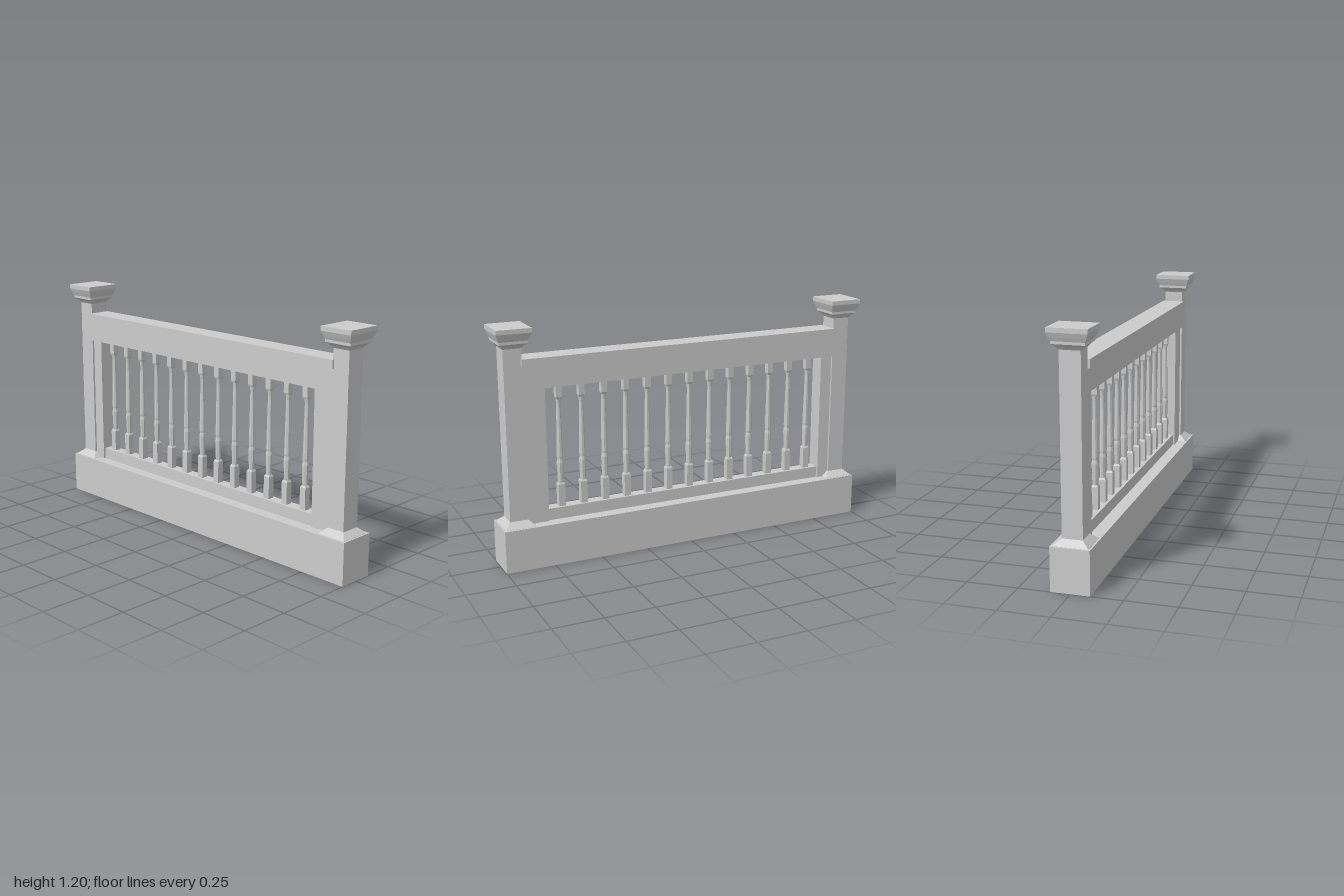
import * as THREE from 'three';

const paint = new THREE.MeshStandardMaterial({ color: 0xcccccc });
paint.name = 'grey paint';

function add(parent, name, geometry, x = 0, y = 0, z = 0) {
  const mesh = new THREE.Mesh(geometry, paint);
  mesh.name = name;
  mesh.position.set(x, y, z);
  parent.add(mesh);
  return mesh;
}

// Box given by half width in x, and ranges in y and z
function beam(parent, name, halfX, y0, y1, z0, z1) {
  return add(parent, name, new THREE.BoxGeometry(halfX * 2, y1 - y0, z1 - z0), 0, (y0 + y1) / 2, (z0 + z1) / 2);
}

// Flat-faced stack of regular sections; profile holds [distance to flat, y]
function turned(profile, sides) {
  const k = 1 / Math.cos(Math.PI / sides);
  const points = profile.map(([r, y]) => new THREE.Vector2(r * k, y));
  const geometry = new THREE.LatheGeometry(points, sides, Math.PI / sides).toNonIndexed();
  geometry.computeVertexNormals();
  return geometry;
}

const POST_Z = 0.913;
const DEPTH = 0.92; // posts are a little shallower in z than in x

function createPost(name, z) {
  const post = new THREE.Group();
  post.name = name;
  post.position.z = z;
  post.scale.z = DEPTH;
  add(post, 'postShaft', new THREE.BoxGeometry(0.1, 0.905, 0.1), 0, 0.6625, 0);
  add(post, 'postSkirt', turned([[0, 0.21], [0.085, 0.21], [0.085, 0.217], [0.05, 0.246], [0, 0.246]], 4));
  add(post, 'postCap', turned([
    [0, 1.103], [0.05, 1.103], [0.06, 1.116], [0.078, 1.13], [0.078, 1.143],
    [0.086, 1.16], [0.095, 1.182], [0.095, 1.204], [0, 1.204],
  ], 4));
  return post;
}

export function createModel() {
  const model = new THREE.Group();
  model.name = 'balustrade';

  // Plinth and end posts
  beam(model, 'plinth', 0.095, 0, 0.216, -1, 1);
  model.add(createPost('frontPost', POST_Z), createPost('backPost', -POST_Z));

  // Rails between the posts
  beam(model, 'handrail', 0.061, 1.007, 1.05, -0.868, 0.873);
  beam(model, 'topRail', 0.05, 0.897, 1.007, -0.867, 0.867);
  beam(model, 'bottomRail', 0.03, 0.216, 0.276, -0.803, 0.756);

  // Filler stiles beside the posts
  beam(model, 'frontStile', 0.04, 0.216, 0.897, 0.756, 0.868);
  beam(model, 'backStile', 0.04, 0.216, 0.897, -0.868, -0.803);

  // Balusters: square blocks at the ends with a tapered shaft between
  const shaft = turned([
    [0.012, 0.39], [0.013, 0.405], [0.016, 0.5], [0.013, 0.518],
    [0.0145, 0.53], [0.0095, 0.8], [0.012, 0.832],
  ], 8);
  const foot = turned([[0, 0.276], [0.017, 0.276], [0.017, 0.388], [0.012, 0.398], [0, 0.398]], 4);
  const head = turned([[0, 0.825], [0.012, 0.825], [0.0155, 0.835], [0.0155, 0.897], [0, 0.897]], 4);
  for (let i = 0; i < 13; i++) {
    const baluster = new THREE.Group();
    baluster.name = 'baluster';
    baluster.position.z = 0.677 - i * 0.1181;
    add(baluster, 'balusterFoot', foot);
    add(baluster, 'balusterShaft', shaft);
    add(baluster, 'balusterHead', head);
    model.add(baluster);
  }
  return model;
}
